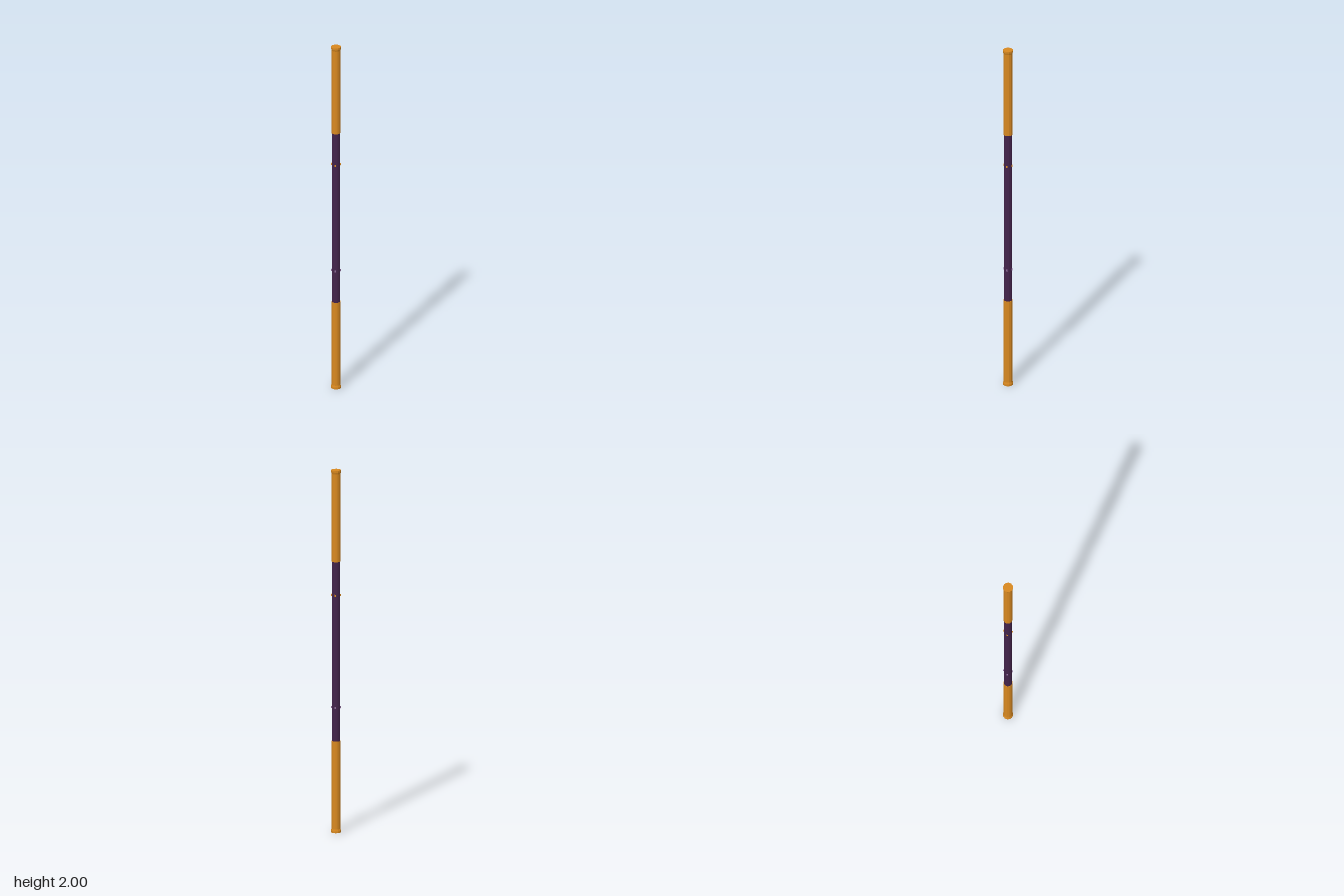
import * as THREE from 'three';

export function createModel() {
  const group = new THREE.Group();
  group.name = 'staff';
  const material = (name, color) => {
    const m = new THREE.MeshStandardMaterial({ color, flatShading: true });
    m.name = name;
    return m;
  };
  const gold = material('gold', 0xd88820);
  const purple = material('dark purple', 0x43234b);
  const lilac = material('lilac', 0x8a6a96);
  const SIDES = 12;

  const add = (name, geometry, mat, x, y, z) => {
    const mesh = new THREE.Mesh(geometry, mat);
    mesh.name = name;
    mesh.position.set(x, y, z);
    group.add(mesh);
    return mesh;
  };

  // Central shaft
  add('shaft', new THREE.CylinderGeometry(0.0225, 0.0225, 1.02, SIDES), purple, 0, 1, 0);

  // Gold end sleeves, each with a small flared tip
  for (const s of [1, -1]) {
    const end = s > 0 ? 'upper' : 'lower';
    const profile = [[0, 0.495], [0.0245, 0.495], [0.0245, 0.98], [0.0275, 0.99], [0.0275, 1], [0, 1]]
      .map(([r, y]) => new THREE.Vector2(r, s * y));
    if (s < 0) profile.reverse();
    add(end + 'Sleeve', new THREE.LatheGeometry(profile, SIDES), gold, 0, 1, 0);

    // Four tiny studs around the shaft
    for (let i = 0; i < 4; i++) {
      const a = i * Math.PI / 2;
      const stud = add(end + 'Stud', new THREE.BoxGeometry(0.008, 0.011, 0.006),
        s > 0 ? gold : lilac, Math.sin(a) * 0.0225, 1 + s * 0.31, Math.cos(a) * 0.0225);
      stud.rotation.y = a;
    }
  }
  return group;
}
